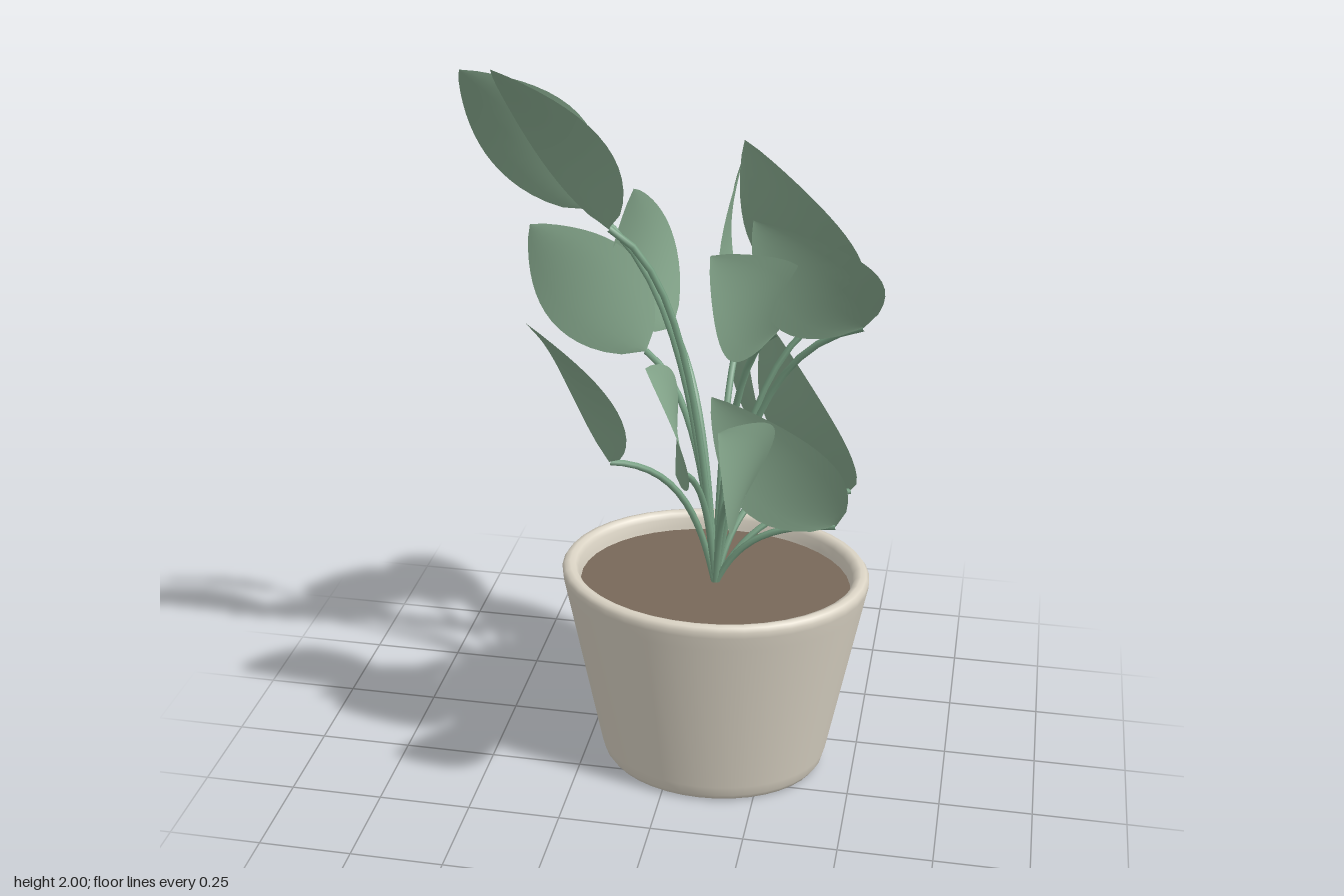
import * as THREE from 'three';

const mat = (name, color, extra = {}) => {
  const m = new THREE.MeshStandardMaterial({ color, ...extra });
  m.name = name;
  return m;
};
const V = (a) => new THREE.Vector3(...a);

const CENTRE = [0.105, -0.14]; // pot axis in x, z
const OVAL = 0.795;            // pot depth relative to its width

// Each leaf: base (stem end), tip
const LEAVES = [
  // lowest tier
  [[0.445, 0.77, -0.31], [0.21, 1.27, -0.27]],
  [[0.25, 0.77, -0.384], [0.13, 1.29, -0.357]],
  [[0.43, 0.77, -0.1], [0.12, 1.18, 0.04]],
  // second tier
  [[0.225, 0.97, 0.167], [0.215, 1.315, 0.52]],
  [[0.035, 0.97, 0.07], [0.015, 1.38, 0.345]],
  [[-0.145, 0.97, 0.03], [-0.302, 1.42, 0.22]],
  // third tier
  [[-0.1, 1.17, -0.235], [-0.347, 1.58, -0.024]],
  [[-0.06, 1.17, -0.405], [-0.12, 1.63, -0.19]],
  [[0.12, 1.17, -0.457], [0.13, 1.67, -0.378]],
  // fourth tier
  [[0.44, 1.365, -0.2], [0.177, 1.81, -0.07]],
  [[0.485, 1.365, -0.03], [0.248, 1.725, 0.255]],
  [[0.28, 1.365, 0.04], [0.175, 1.69, 0.405]],
  // top tier
  [[-0.237, 1.57, -0.185], [-0.497, 1.97, 0.017]],
  [[-0.155, 1.57, -0.055], [-0.394, 2.0, 0.11]],
];

// Arched, slightly cupped pointed blade, turned by its angle around the pot
function leafGeometry(base, tip) {
  const rows = 16, cols = 6, halfWidth = 0.135;
  const dir = tip.clone().sub(base);
  const d = dir.clone().normalize();
  const turn = Math.atan2((base.z - CENTRE[1]) / OVAL, base.x - CENTRE[0]);
  const lean = Math.atan2(d.z, d.y);
  const w = new THREE.Vector3(Math.cos(turn), 0, -Math.sin(turn))
    .applyAxisAngle(new THREE.Vector3(1, 0, 0), lean);
  w.addScaledVector(d, -w.dot(d)).normalize();
  const n = w.clone().cross(d);
  const pos = [], idx = [];
  for (let i = 0; i <= rows; i++) {
    const t = i / rows;
    const width = halfWidth * Math.pow(Math.max(0, Math.sin(Math.PI * Math.pow(t, 0.78))), 0.85);
    for (let j = 0; j <= cols; j++) {
      const s = (j / cols) * 2 - 1;
      const lift = 0.035 * Math.sin(Math.PI * t) + 0.1 * s * s * width;
      const p = base.clone().addScaledVector(dir, t).addScaledVector(w, s * width).addScaledVector(n, lift);
      pos.push(p.x, p.y, p.z);
      if (i < rows && j < cols) {
        const a = i * (cols + 1) + j, b = a + cols + 1;
        idx.push(a, a + 1, b, a + 1, b + 1, b);
      }
    }
  }
  const g = new THREE.BufferGeometry();
  g.setAttribute('position', new THREE.Float32BufferAttribute(pos, 3));
  g.setIndex(idx);
  g.computeVertexNormals();
  return g;
}

// Stem rises from the soil and bends outwards to the leaf
function stemGeometry(base) {
  const [cx, cz] = CENTRE, y0 = 0.54;
  const dx = base.x - cx, dz = base.z - cz, h = base.y - y0;
  const at = (out, up) => new THREE.Vector3(cx + dx * out, y0 + h * up, cz + dz * out);
  const curve = new THREE.CubicBezierCurve3(at(0, 0), at(0.16, 0.55), at(0.38, 0.9), base);
  return new THREE.TubeGeometry(curve, 14, 0.009, 6, false);
}

export function createModel() {
  const model = new THREE.Group();
  model.name = 'pottedPlant';
  const potMat = mat('cream ceramic', 0xdad3c4, { side: THREE.DoubleSide });
  const soilMat = mat('brown soil', 0x786859);
  const stemMat = mat('stem green', 0x7aa386);
  const leafMat = mat('leaf green', 0x8bae92, { side: THREE.DoubleSide });

  const add = (name, geometry, material, parent = model) => {
    const mesh = new THREE.Mesh(geometry, material);
    mesh.name = name;
    parent.add(mesh);
    return mesh;
  };

  // Oval pot, open below, with rounded foot and lip
  const profile = [
    [0.285, 0], [0.297, 0.004], [0.308, 0.02], [0.316, 0.05],
    [0.407, 0.53], [0.415, 0.57], [0.416, 0.587], [0.408, 0.598], [0.394, 0.602],
    [0.38, 0.597], [0.372, 0.583], [0.368, 0.56], [0.36, 0.52],
  ].map(([r, y]) => new THREE.Vector2(r, y));
  const pot = add('pot', new THREE.LatheGeometry(profile, 40), potMat);
  pot.position.set(CENTRE[0], 0, CENTRE[1]);
  pot.scale.z = OVAL;

  // Soil surface inside the rim
  const soil = add('soil', new THREE.CircleGeometry(0.367, 40).rotateX(-Math.PI / 2), soilMat);
  soil.position.set(CENTRE[0], 0.55, CENTRE[1]);
  soil.scale.z = OVAL;

  // Stems and leaves
  const stems = new THREE.Group(), leaves = new THREE.Group();
  stems.name = 'stems';
  leaves.name = 'leaves';
  model.add(stems, leaves);
  for (const [base, tip] of LEAVES) {
    add('stem', stemGeometry(V(base)), stemMat, stems);
    add('leaf', leafGeometry(V(base), V(tip)), leafMat, leaves);
  }
  return model;
}
